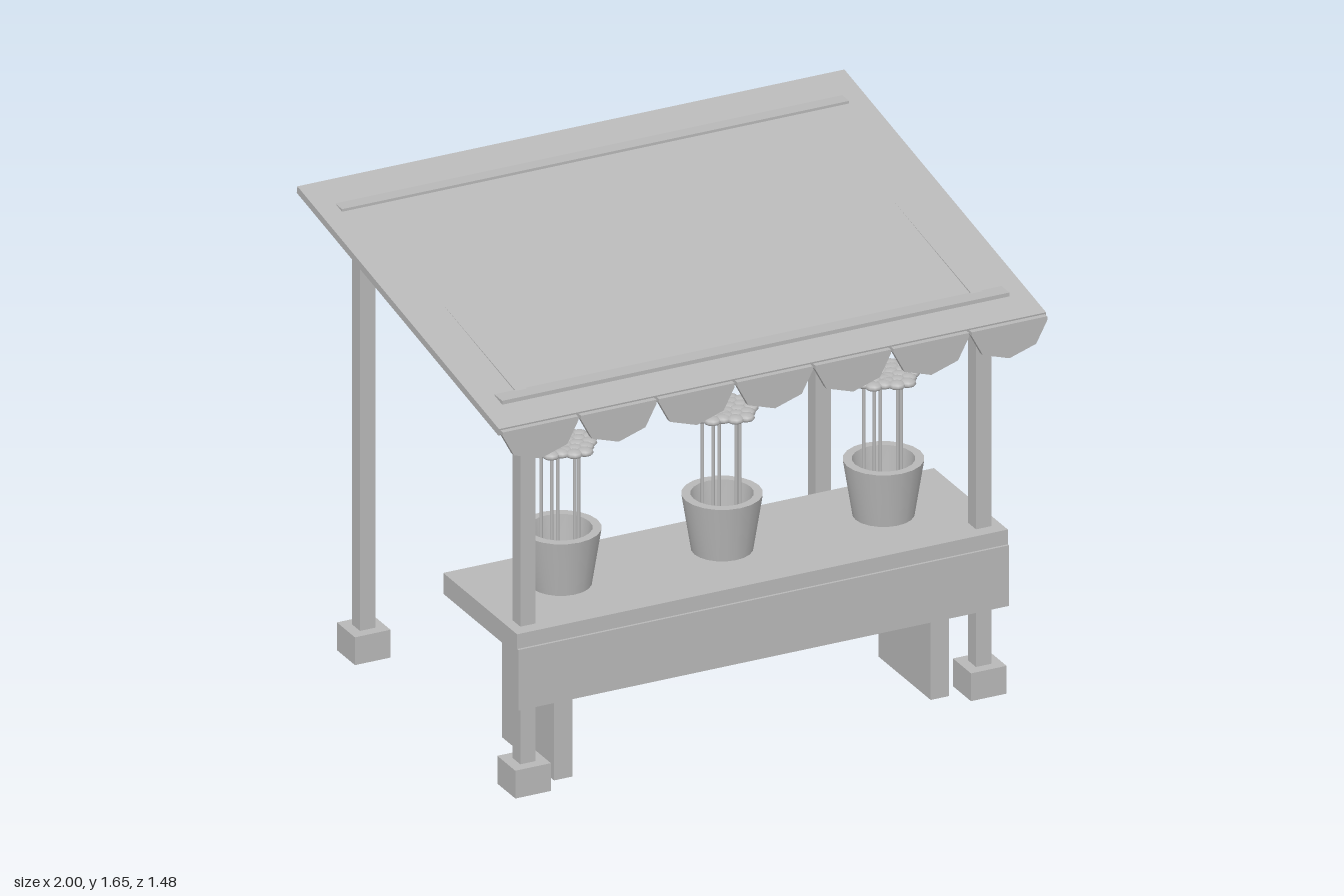
import * as THREE from 'three';
import { toCreasedNormals } from 'three/addons/utils/BufferGeometryUtils.js';

export function createModel() {
  const stall = new THREE.Group();
  stall.name = 'marketStall';
  const grey = new THREE.MeshStandardMaterial({ color: 0xb8b8b8 });
  grey.name = 'plainGrey';

  const add = (name, geometry, x, y, z, parent = stall) => {
    const mesh = new THREE.Mesh(geometry, grey);
    mesh.name = name;
    mesh.position.set(x, y, z);
    parent.add(mesh);
    return mesh;
  };
  // Box given by its extents on each axis
  const block = (name, [x0, x1], [y0, y1], [z0, z1]) =>
    add(name, new THREE.BoxGeometry(x1 - x0, y1 - y0, z1 - z0),
      (x0 + x1) / 2, (y0 + y1) / 2, (z0 + z1) / 2);

  // Posts, feet and cross beams
  const frame = [
    { end: 'front', z: 0.571, top: 1.395, beam: [0.542, 0.599], beamY: [1.368, 1.421] },
    { end: 'back', z: -0.586, top: 1.605, beam: [-0.615, -0.557], beamY: [1.578, 1.631] },
  ];
  for (const { end, z, top, beam, beamY } of frame) {
    for (const x of [-0.833, 0.833]) {
      block(end + 'Post', [x - 0.028, x + 0.028], [0.1, top], [z - 0.028, z + 0.028]);
      block(end + 'Foot', [x - 0.065, x + 0.065], [0, 0.1], [z - 0.065, z + 0.065]);
    }
    block(end + 'Beam', [-0.927, 0.927], beamY, beam);
  }

  // Sloping rafters between the front and back beams
  const rise = 0.205, run = 1.157;
  for (const x of [-0.833, 0.833]) {
    const rafter = add('rafter', new THREE.BoxGeometry(0.04, 0.04, Math.hypot(rise, run)), x, 1.4995, -0.0075);
    rafter.rotation.x = Math.atan2(rise, run);
  }

  // Sloping roof
  const roof = add('roof', new THREE.BoxGeometry(2, 0.026, 1.48), 0, 1.507, -0.01);
  roof.rotation.x = 0.1835;

  // Scalloped valance along the front edge
  const scallop = new THREE.Shape();
  scallop.moveTo(0.138, 0.014);
  scallop.lineTo(-0.138, 0.014);
  for (let i = 0; i <= 4; i++) {
    const a = Math.PI + (i * Math.PI) / 4;
    scallop.lineTo(0.138 * Math.cos(a), 0.108 * Math.sin(a));
  }
  const scallopGeometry = new THREE.ExtrudeGeometry(scallop, { depth: 0.02, bevelEnabled: false });
  for (let i = -3; i <= 3; i++) add('valanceScallop', scallopGeometry, (i * 2) / 7, 1.365, 0.718);

  // Counter
  block('counterTop', [-0.897, 0.897], [0.52, 0.595], [0.114, 0.647]);
  block('counterFront', [-0.897, 0.897], [0.324, 0.542], [0.62, 0.656]);
  for (const s of [-1, 1]) {
    const xs = [s * 0.655, s * 0.722].sort((a, b) => a - b);
    block('counterLeg', xs, [0, 0.52], [0.192, 0.568]);
  }

  // Flower pots
  const profile = [[0, 0], [0.102, 0], [0.134, 0.2], [0.104, 0.2], [0.082, 0.03], [0, 0.03]]
    .map(([r, y]) => new THREE.Vector2(r, y));
  const potGeometry = toCreasedNormals(new THREE.LatheGeometry(profile, 20), 0.5);
  const stemGeometry = new THREE.CylinderGeometry(0.006, 0.006, 0.47, 8);
  const petalGeometry = new THREE.SphereGeometry(0.03, 10, 6);
  petalGeometry.scale(1, 0.47, 1);

  for (const x of [-0.59, 0, 0.59]) {
    const pot = new THREE.Group();
    pot.name = 'flowerPot';
    pot.position.set(x, 0.595, 0.356);
    stall.add(pot);
    add('pot', potGeometry, 0, 0, 0, pot);
    for (let i = 0; i < 5; i++) {
      const a = (i * 2 * Math.PI) / 5;
      const sx = 0.065 * Math.cos(a), sz = 0.065 * Math.sin(a);
      add('stem', stemGeometry, sx, 0.265, sz, pot);
      // Flat flower head: a centre ringed by six petals
      add('flowerCentre', petalGeometry, sx, 0.503, sz, pot);
      for (let j = 0; j < 6; j++) {
        const b = (j * Math.PI) / 3;
        add('petal', petalGeometry, sx + 0.038 * Math.cos(b), 0.503, sz + 0.038 * Math.sin(b), pot);
      }
    }
  }
  return stall;
}
